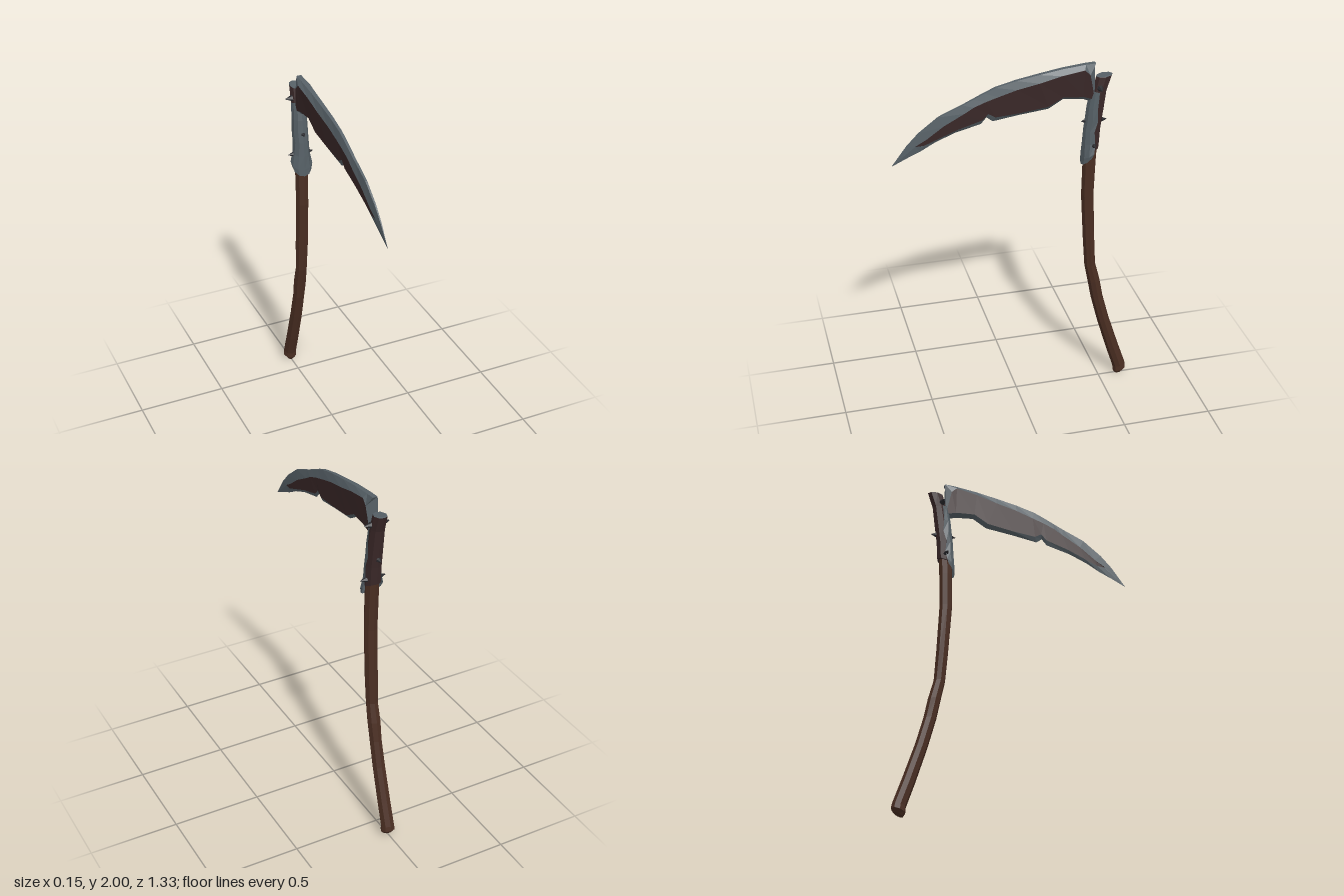
import * as THREE from 'three';

const mat = (name, color) => {
  const m = new THREE.MeshStandardMaterial({ color, flatShading: true, side: THREE.DoubleSide });
  m.name = name;
  return m;
};

// Skin a list of rings (bottom to top); cols picks which strips to build.
function loft(rings, cols, capStart = false, capEnd = false) {
  const n = rings[0].length, idx = [];
  const id = (r, i) => r * n + (i % n);
  for (let r = 0; r < rings.length - 1; r++)
    for (const i of cols) {
      const a = id(r, i), b = id(r, i + 1), c = id(r + 1, i + 1), d = id(r + 1, i);
      idx.push(a, b, c, a, c, d);
    }
  const last = rings.length - 1;
  for (let i = 1; i < n - 1; i++) {
    if (capStart) idx.push(id(0, 0), id(0, i + 1), id(0, i));
    if (capEnd) idx.push(id(last, 0), id(last, i), id(last, i + 1));
  }
  const g = new THREE.BufferGeometry();
  g.setAttribute('position', new THREE.Float32BufferAttribute(rings.flat(2), 3));
  g.setIndex(idx);
  g.computeVertexNormals();
  return g;
}

const range = n => Array.from({ length: n }, (_, i) => i);

// Elliptical ring between a front and back z; tilt raises the front.
function ring([y, zF, zB, hx, tilt = 0], sides = 8) {
  return range(sides).map(i => {
    const a = (i / sides) * Math.PI * 2;
    return [-Math.cos(a) * hx, y + tilt * Math.sin(a), (zF + zB) / 2 + Math.sin(a) * (zF - zB) / 2];
  });
}

// Front-facing open arc; spread wraps it further round the sides.
function arc([y, zF, zB, hx, tilt, spread]) {
  return range(7).map(i => {
    const a = -spread + (i / 6) * (Math.PI + 2 * spread);
    return [-Math.cos(a) * hx, y + tilt * Math.sin(a), (zF + zB) / 2 + Math.sin(a) * (zF - zB) / 2];
  });
}

export function createModel() {
  const group = new THREE.Group();
  const wood = mat('brown wood', 0x4a2e22);
  const steel = mat('grey steel', 0x566066);
  const rust = mat('dark rusted iron', 0x3a2828);
  const iron = mat('black iron', 0x2a2a2e);
  const add = (name, geo, m) => {
    const mesh = new THREE.Mesh(geo, m);
    mesh.name = name;
    group.add(mesh);
    return mesh;
  };

  // Crooked wooden handle
  const handleRows = [
    [0.015, -0.6, -0.65, 0.025, -0.012],
    [0.035, -0.588, -0.664, 0.041, -0.012],
    [0.065, -0.586, -0.658, 0.038, -0.01],
    [0.2, -0.542, -0.612, 0.037, -0.01],
    [0.4, -0.482, -0.548, 0.036, -0.01],
    [0.56, -0.438, -0.508, 0.034],
    [0.67, -0.417, -0.487, 0.038],
    [0.78, -0.395, -0.458, 0.034],
    [0.95, -0.382, -0.448, 0.038],
    [1.23, -0.365, -0.436, 0.037],
    [1.42, -0.368, -0.442, 0.038],
    [1.6, -0.38, -0.45, 0.036],
  ].map(r => ring(r));
  add('handle', loft(handleRows, range(8), true, true), wood);

  // Rusted socket wrapped round the top of the handle
  const socketRows = [
    [1.5, -0.37, -0.456, 0.042, -0.02],
    [1.62, -0.376, -0.462, 0.042],
    [1.74, -0.39, -0.478, 0.04],
    [1.84, -0.41, -0.49, 0.038],
    [1.925, -0.43, -0.52, 0.034, -0.005],
  ].map(r => ring(r));
  add('socket', loft(socketRows, range(8), true), rust);
  add('socketCap', loft([socketRows[4], ring([1.927, -0.43, -0.51, 0.03, -0.005])], range(8), false, true), steel);

  // Flared steel guard on the front of the socket
  const guardRows = [
    [1.465, -0.357, -0.442, 0.055, -0.045, 0.1],
    [1.49, -0.358, -0.45, 0.062, -0.03, 0.25],
    [1.55, -0.362, -0.455, 0.048, -0.01, 0.3],
    [1.62, -0.368, -0.462, 0.045, 0, 0.05],
    [1.68, -0.374, -0.47, 0.044, 0, 0.3],
    [1.75, -0.383, -0.478, 0.043, 0, 0.05],
    [1.84, -0.402, -0.49, 0.041, 0.01, -0.1],
  ].map(arc);
  add('frontGuard', loft(guardRows, range(6)), steel);

  // Iron spikes: two pairs sideways, one front and one back
  const spike = (name, pos, dir, r, h) => {
    const s = add(name, new THREE.ConeGeometry(r, h, 6), iron);
    s.position.set(...pos);
    s.quaternion.setFromUnitVectors(new THREE.Vector3(0, 1, 0), new THREE.Vector3(...dir));
  };
  for (const s of [-1, 1]) {
    spike('upperSideSpike', [s * 0.054, 1.865, -0.445], [s, 0, 0], 0.018, 0.042);
    spike('lowerSideSpike', [s * 0.056, 1.54, -0.415], [s, 0, 0], 0.016, 0.04);
    spike('edgeSpike', [0, 1.67, -0.425 + s * 0.058], [0, 0, s], 0.014, 0.03);
  }

  // Curved blade; each row gives z, y of spine, upper shoulder, lower shoulder
  // and cutting edge, then the half thickness
  const bladeRings = [
    [-0.425, 2.0, -0.39, 1.945, -0.42, 1.8, -0.42, 1.775, 0.034],
    [-0.37, 1.998, -0.36, 1.975, -0.36, 1.82, -0.36, 1.8, 0.033],
    [-0.24, 1.985, -0.24, 1.955, -0.25, 1.83, -0.254, 1.812, 0.03],
    [-0.12, 1.966, -0.12, 1.925, -0.17, 1.785, -0.175, 1.765, 0.027],
    [0, 1.945, 0, 1.9, -0.016, 1.765, -0.016, 1.748, 0.023],
    [0.11, 1.918, 0.1, 1.87, 0.115, 1.755, 0.127, 1.728, 0.02],
    [0.17, 1.893, 0.165, 1.85, 0.153, 1.778, 0.16, 1.754, 0.019],
    [0.23, 1.865, 0.23, 1.825, 0.185, 1.745, 0.19, 1.72, 0.018],
    [0.286, 1.839, 0.28, 1.795, 0.32, 1.705, 0.33, 1.685, 0.017],
    [0.413, 1.786, 0.39, 1.735, 0.42, 1.665, 0.435, 1.643, 0.014],
    [0.52, 1.706, 0.48, 1.67, 0.495, 1.635, 0.514, 1.6, 0.011],
    [0.585, 1.64, 0.54, 1.635, 0.541, 1.632, 0.58, 1.572, 0.008],
    [0.67, 1.53, 0.67, 1.53, 0.67, 1.53, 0.67, 1.53, 0],
  ].map(([zs, ys, zu, yu, zl, yl, ze, ye, t]) => [
    [-t * 0.4, ys, zs], [-t, yu, zu], [-t * 0.7, yl, zl], [0, ye, ze],
    [t * 0.7, yl, zl], [t, yu, zu], [t * 0.4, ys, zs],
  ]);
  add('bladeEdges', loft(bladeRings, [0, 2, 3, 5, 6], true), steel);
  add('bladeFaces', loft(bladeRings.slice(0, 12), [1, 4]), rust);

  // Centre the footprint and stand it on the ground
  const box = new THREE.Box3().setFromObject(group);
  group.children.forEach(c => { c.position.y -= box.min.y; });
  return group;
}
